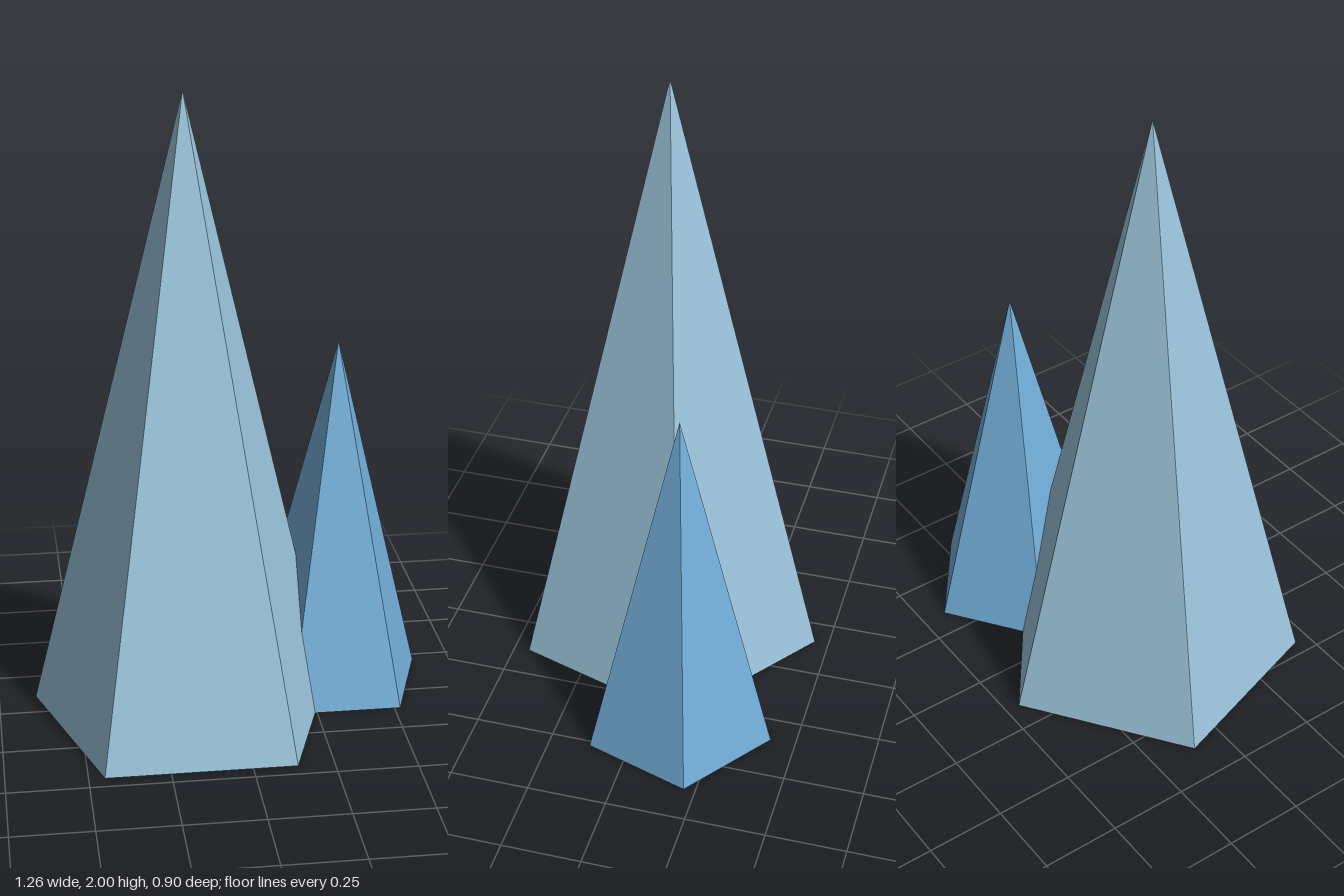
import * as THREE from 'three';

// Five-sided crystal standing on y = 0, one base corner pointing to the back
function crystal(name, radius, height, x, z, material) {
  const geometry = new THREE.ConeGeometry(radius, height, 5).toNonIndexed();
  geometry.rotateY(Math.PI);
  geometry.translate(0, height / 2, 0);
  geometry.computeVertexNormals(); // flat facets
  const mesh = new THREE.Mesh(geometry, material);
  mesh.name = name;
  mesh.position.set(x, 0, z);
  return mesh;
}

export function createModel() {
  const paleIce = new THREE.MeshStandardMaterial({ color: 0x9bc5dc, flatShading: true });
  paleIce.name = 'pale ice blue';
  const deepIce = new THREE.MeshStandardMaterial({ color: 0x73aed8, flatShading: true });
  deepIce.name = 'deep ice blue';

  const group = new THREE.Group();
  group.name = 'crystalCluster';
  group.add(
    crystal('largeCrystal', 0.5, 2, -0.157, 0.046, paleIce),
    crystal('smallCrystal', 0.3, 1.165, 0.343, -0.121, deepIce)
  );
  return group;
}
